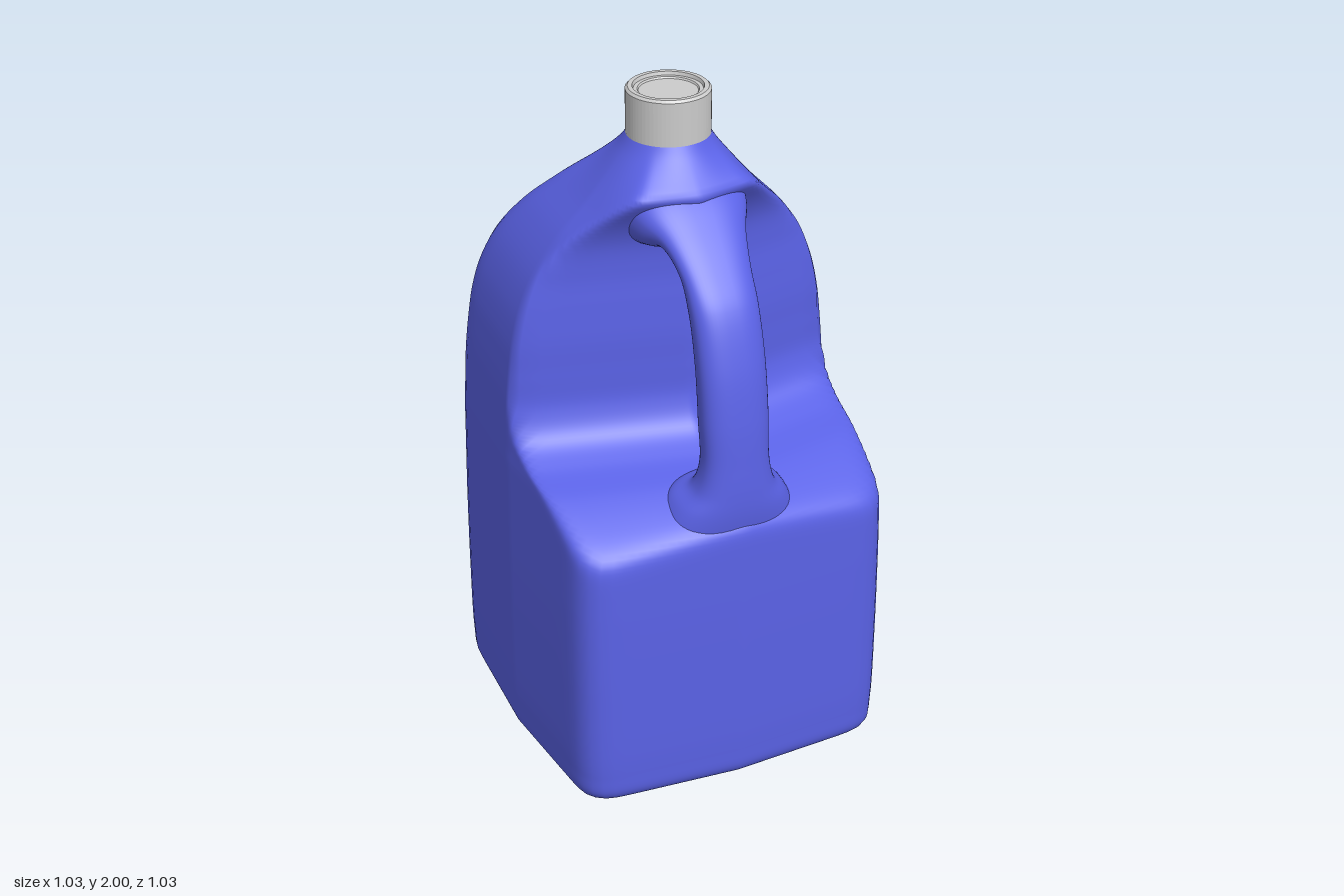
import * as THREE from 'three';

const V = (x, y, z) => new THREE.Vector3(x, y, z);

// Skins closed rings of points; rings run counter-clockwise seen from the sweep's end.
function loft(rings) {
  const n = rings[0].length;
  const index = [];
  for (let i = 0; i < rings.length - 1; i++) {
    for (let j = 0; j < n; j++) {
      const a = i * n + j, b = i * n + (j + 1) % n;
      index.push(a, b, a + n, b, b + n, a + n);
    }
  }
  const geometry = new THREE.BufferGeometry().setFromPoints(rings.flat());
  geometry.setIndex(index);
  geometry.computeVertexNormals();
  return geometry;
}

function ring(count, pointAt) {
  return Array.from({ length: count }, (_, j) => pointAt((j / count) * Math.PI * 2));
}

// Smooth minimum of several radii
const softMin = (p, ...radii) => radii.reduce((s, r) => s + r ** -p, 0) ** (-1 / p);

// Unit cross-section: a square with bulging sides and clipped corners
function squareRadius(t) {
  const s = Math.abs(Math.sin(t)), c = Math.abs(Math.cos(t));
  return softMin(50, 1 / (c + 0.07 * s), 1 / (s + 0.07 * c), 1.79 / (s + c));
}

function bodyGeometry() {
  // Stations: half width, height, depth of the front recess plane
  const curve = new THREE.CatmullRomCurve3([
    V(0.003, 0.03, 0.9), V(0.34, 0.02, 0.9), V(0.43, 0, 0.9), V(0.478, 0.004, 0.9),
    V(0.502, 0.03, 0.9), V(0.51, 0.1, 0.9), V(0.514, 0.35, 0.9), V(0.514, 0.6, 0.88),
    V(0.513, 0.7, 0.76), V(0.512, 0.78, 0.64), V(0.511, 0.87, 0.5), V(0.51, 0.93, 0.38),
    V(0.508, 0.97, 0.26), V(0.506, 1.02, 0.18), V(0.502, 1.1, 0.145), V(0.493, 1.2, 0.14),
    V(0.48, 1.3, 0.14), V(0.456, 1.4, 0.135), V(0.414, 1.5, 0.13), V(0.345, 1.6, 0.14),
    V(0.25, 1.7, 0.19), V(0.165, 1.8, 0.28), V(0.119, 1.865, 0.5), V(0.1, 1.9, 0.5),
  ]);
  const rings = curve.getPoints(23 * 8).map(({ x: w, y, z: recess }) => {
    const roundness = THREE.MathUtils.smoothstep(y, 1.68, 1.87);
    return ring(128, (t) => {
      let r = w * THREE.MathUtils.lerp(squareRadius(t), 1, roundness);
      const slope = Math.cos(t) + 0.24 * Math.hypot(Math.sin(t), 0.05);
      if (slope > 0.02) r = softMin(24, r, recess / slope);
      return V(r * Math.sin(t), y, r * Math.cos(t));
    });
  });
  return loft(rings);
}

function handleGeometry() {
  // Bottom to top: inner z, inner y, outer z, outer y, half width
  const stations = [
    [0.25, 0.85, 0.49, 0.80, 0.22],
    [0.29, 0.945, 0.503, 0.89, 0.17],
    [0.345, 0.975, 0.505, 0.96, 0.12],
    [0.367, 1.04, 0.501, 1.04, 0.1],
    [0.357, 1.17, 0.49, 1.18, 0.1],
    [0.338, 1.33, 0.462, 1.34, 0.1],
    [0.3, 1.47, 0.41, 1.49, 0.1],
    [0.255, 1.56, 0.345, 1.58, 0.104],
    [0.2, 1.602, 0.265, 1.67, 0.125],
    [0.14, 1.58, 0.18, 1.75, 0.165],
    [0.05, 1.55, 0.07, 1.82, 0.19],
  ];
  const inner = new THREE.CatmullRomCurve3(stations.map((s) => V(s[4], s[1], s[0])));
  const outer = new THREE.CatmullRomCurve3(stations.map((s) => V(s[4], s[3], s[2])));
  const steps = 80;
  const squash = (v) => Math.sign(v) * Math.abs(v) ** 0.8;
  const rings = [];
  for (let i = 0; i <= steps; i++) {
    const a = inner.getPoint(i / steps), b = outer.getPoint(i / steps);
    rings.push(ring(48, (t) => {
      const p = a.clone().lerp(b, 0.5 + 0.5 * squash(Math.cos(t)));
      p.x = a.x * squash(Math.sin(t));
      return p;
    }));
  }
  return loft(rings);
}

// Screw cap with a dished top; doubled profile points keep the edges sharp
function capGeometry() {
  const corners = [
    [0.09, 1.865], [0.12, 1.865], [0.12, 1.993], [0.113, 2], [0.1, 2],
    [0.097, 1.99], [0.086, 1.99], [0.083, 1.985], [0, 1.985],
  ];
  const profile = corners.flatMap(([r, y]) => [new THREE.Vector2(r, y), new THREE.Vector2(r, y)]);
  const geometry = new THREE.LatheGeometry(profile.slice(1, -1), 64).toNonIndexed();
  geometry.computeVertexNormals();
  return geometry;
}

export function createModel() {
  const model = new THREE.Group();
  model.name = 'jug';
  const plastic = new THREE.MeshStandardMaterial({ color: 0x5a62e6 });
  const grey = new THREE.MeshStandardMaterial({ color: 0xcccccc });
  const add = (name, geometry, material) => {
    const mesh = new THREE.Mesh(geometry, material);
    mesh.name = name;
    model.add(mesh);
  };
  add('body', bodyGeometry(), plastic);
  add('handle', handleGeometry(), plastic);
  add('cap', capGeometry(), grey);
  return model;
}
